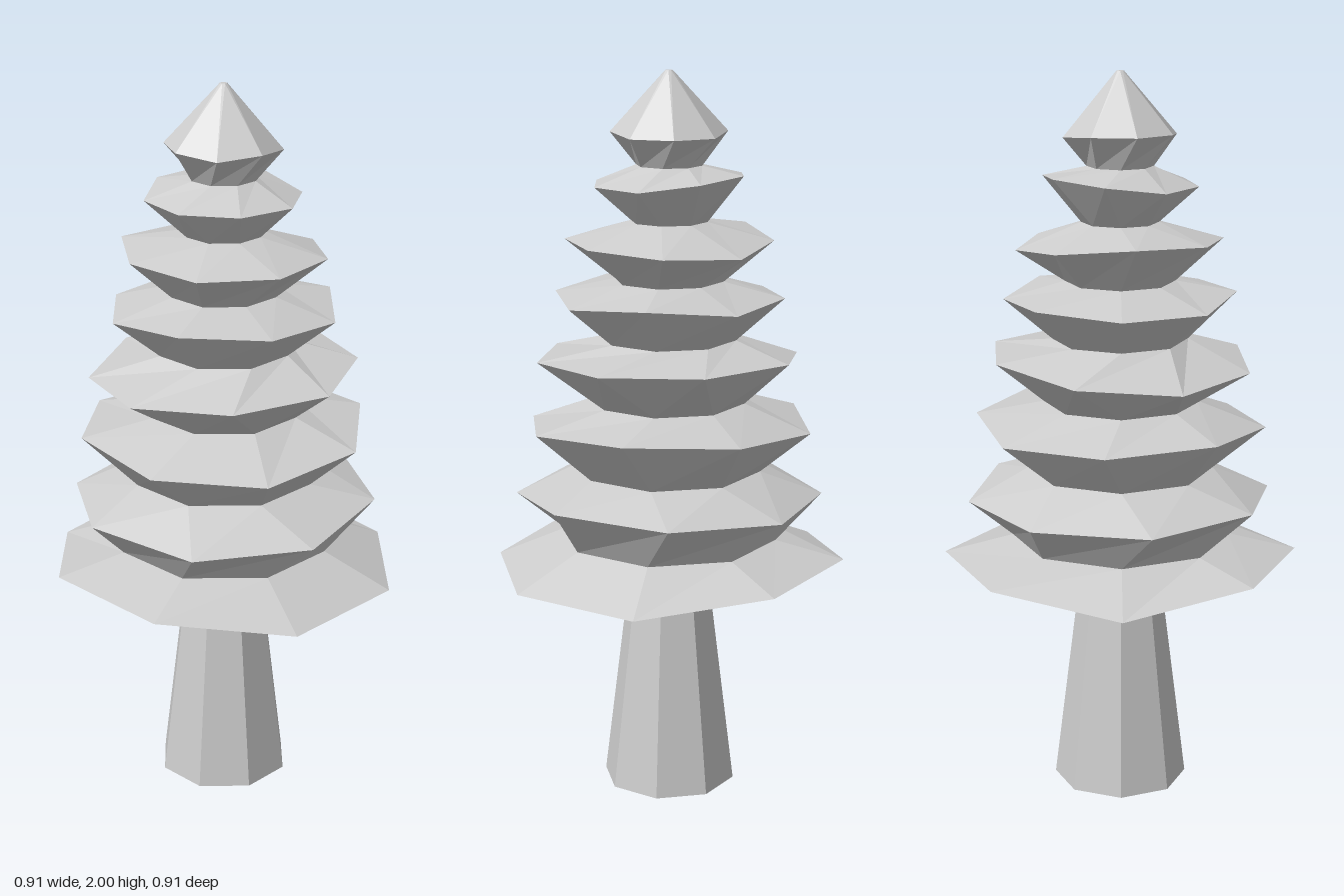
import * as THREE from 'three';

const SIDES = 8;

// One eight-sided loop; angles in degrees run from +z towards +x
function ring(radius, turn, heights) {
  return Array.from({ length: SIDES }, (_, i) => {
    const a = THREE.MathUtils.degToRad(turn + i * 45);
    const y = Array.isArray(heights) ? heights[i] : heights;
    return [radius * Math.sin(a), y, radius * Math.cos(a)];
  });
}

// Faceted skin through a stack of loops, from bottom to top
function loft(rings) {
  const index = [];
  for (let r = 0; r < rings.length - 1; r++) {
    for (let i = 0; i < SIDES; i++) {
      const j = (i + 1) % SIDES;
      const a = r * SIDES + i, b = r * SIDES + j;
      index.push(a, b, b + SIDES, a, b + SIDES, a + SIDES);
    }
  }
  const geo = new THREE.BufferGeometry();
  geo.setAttribute('position', new THREE.Float32BufferAttribute(rings.flat(2), 3));
  geo.setIndex(index);
  return faceted(geo);
}

function faceted(geo) {
  const flat = geo.toNonIndexed();
  flat.computeVertexNormals();
  return flat;
}

export function createModel() {
  const tree = new THREE.Group();
  tree.name = 'tree';
  const grey = new THREE.MeshStandardMaterial({ color: 0xcccccc });
  grey.name = 'light grey';

  const add = (name, geo) => {
    const mesh = new THREE.Mesh(geo, grey);
    mesh.name = name;
    tree.add(mesh);
  };

  // Tapered trunk
  const trunk = new THREE.CylinderGeometry(0.12, 0.186, 0.54, SIDES, 1, false, Math.PI / 8);
  trunk.translate(0, 0.27, 0);
  add('trunk', faceted(trunk));

  // Narrow loops between the tiers: [radius, height]
  const necks = [
    [0.12, 0.54], [0.3, 0.72], [0.255, 0.915], [0.21, 1.105], [0.185, 1.28],
    [0.15, 1.44], [0.105, 1.6], [0.09, 1.75], [0.01, 2],
  ];

  // Uneven outer rims: radius, turn, height of each corner
  const rims = [
    [0.49, 22.5, [0.635, 0.635, 0.635, 0.67, 0.675, 0.64, 0.68, 0.675]],
    [0.424, 33, [0.84, 0.865, 0.855, 0.84, 0.84, 0.84, 0.85, 0.835]],
    [0.4, 16, [1.03, 1.05, 1.07, 1.06, 1.04, 1.05, 1.06, 1.04]],
    [0.367, 3, [1.225, 1.23, 1.24, 1.245, 1.245, 1.22, 1.2, 1.21]],
    [0.317, 22.5, [1.4, 1.39, 1.41, 1.39, 1.4, 1.39, 1.39, 1.41]],
    [0.283, 30, [1.55, 1.55, 1.54, 1.53, 1.55, 1.57, 1.56, 1.55]],
    [0.213, 11, [1.7, 1.7, 1.7, 1.72, 1.73, 1.72, 1.7, 1.7]],
    [0.158, 38, [1.84, 1.83, 1.83, 1.83, 1.84, 1.84, 1.84, 1.83]],
  ];

  // Foliage tiers, each flaring from its lower neck and closing to the next
  rims.forEach(([radius, turn, heights], i) => {
    const [lowR, lowY] = necks[i], [topR, topY] = necks[i + 1];
    add(`foliageTier${i + 1}`, loft([
      ring(lowR, 22.5, lowY),
      ring(radius, turn, heights),
      ring(topR, 22.5, topY),
    ]));
  });

  // Flat cap closing the tip
  const tip = new THREE.CircleGeometry(0.01, SIDES, Math.PI / 8);
  tip.rotateX(-Math.PI / 2);
  tip.translate(0, 2, 0);
  add('treeTip', tip);

  return tree;
}
